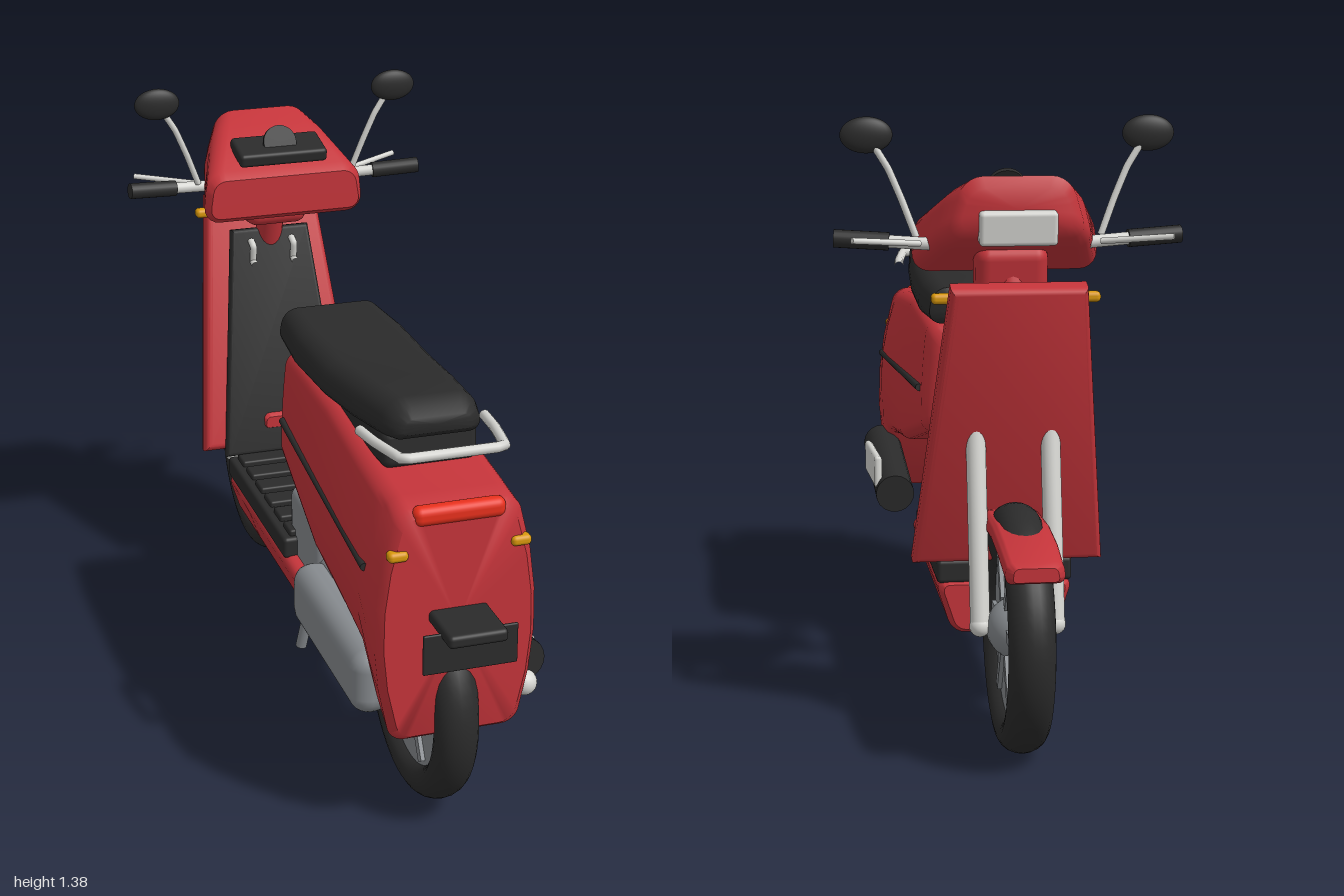
import * as THREE from 'three';
import { toCreasedNormals } from 'three/addons/utils/BufferGeometryUtils.js';
import { RoundedBoxGeometry } from 'three/addons/geometries/RoundedBoxGeometry.js';

const paint = (name, color) => {
  const m = new THREE.MeshStandardMaterial({ color });
  m.name = name;
  return m;
};

// Rounded trapezoid sections along z: [z, yBottom, yTop, halfBottom, halfTop, radius, bulge]
function loft(sections) {
  const pos = [], idx = [];
  let n = 0;
  for (const [z, y0, y1, w0, w1, r, bulge = 0] of sections) {
    const ring = [];
    const half = y => {
      const t = (y - y0) / (y1 - y0);
      return w0 + (w1 - w0) * t + bulge * 4 * t * (1 - t);
    };
    const add = (side, inset, y) => ring.push([side * (half(y) - inset), y]);
    const right = [];
    for (let i = 0; i <= 5; i++) {
      const a = (i / 5) * Math.PI / 2;
      right.push([r * (1 - Math.sin(a)), y0 + r * (1 - Math.cos(a))]);
    }
    for (let i = 1; i < 5; i++) right.push([0, y0 + r + (y1 - y0 - 2 * r) * i / 5]);
    for (let i = 0; i <= 5; i++) {
      const a = (i / 5) * Math.PI / 2;
      right.push([r * (1 - Math.cos(a)), y1 - r * (1 - Math.sin(a))]);
    }
    right.forEach(([inset, y]) => add(1, inset, y));
    right.reverse().forEach(([inset, y]) => add(-1, inset, y));
    n = ring.length;
    ring.forEach(([x, y]) => pos.push(x, y, z));
  }
  const last = sections.length - 1;
  for (let s = 0; s < last; s++) {
    for (let j = 0; j < n; j++) {
      const a = s * n + j, b = s * n + (j + 1) % n;
      idx.push(a, b, b + n, a, b + n, a + n);
    }
  }
  for (const s of [0, last]) {
    const c = pos.length / 3;
    pos.push(0, (sections[s][1] + sections[s][2]) / 2, sections[s][0]);
    for (let j = 0; j < n; j++) {
      const a = s * n + j, b = s * n + (j + 1) % n;
      idx.push(...(s ? [c, a, b] : [c, b, a]));
    }
  }
  const g = new THREE.BufferGeometry();
  g.setAttribute('position', new THREE.Float32BufferAttribute(pos, 3));
  g.setIndex(idx);
  return toCreasedNormals(g, 0.8);
}

// Bevelled trapezoid panel standing on its bottom edge
function panel(bottom, top, height, depth, bevel) {
  const s = new THREE.Shape();
  s.moveTo(-bottom + bevel, bevel);
  s.lineTo(bottom - bevel, bevel);
  s.lineTo(top - bevel, height - bevel);
  s.lineTo(-top + bevel, height - bevel);
  s.closePath();
  const g = new THREE.ExtrudeGeometry(s, {
    depth: depth - 2 * bevel, bevelSize: bevel, bevelThickness: bevel, bevelSegments: 4
  });
  g.translate(0, 0, bevel - depth / 2);
  return toCreasedNormals(g, 0.6);
}

export function createModel() {
  const root = new THREE.Group();
  const red = paint('red paint', 0xc4343a), black = paint('black rubber', 0x2b2b2b);
  const grey = paint('grey metal', 0x878b8f), white = paint('pale metal', 0xd6d6d2);
  const amber = paint('amber lens', 0xd9980c), lamp = paint('red lens', 0xe8301c);

  const mesh = (name, geo, mat, p = [0, 0, 0], rot = [0, 0, 0], parent = root) => {
    const m = new THREE.Mesh(geo, mat);
    m.name = name;
    m.position.set(...p);
    m.rotation.set(...rot);
    parent.add(m);
    return m;
  };
  const box = (name, size, mat, p, rot, r = 0.01) =>
    mesh(name, new RoundedBoxGeometry(...size, 3, Math.min(r, ...size.map(v => v * 0.45))), mat, p, rot);
  const tube = (name, pts, r, mat) => {
    const c = new THREE.CatmullRomCurve3(pts.map(p => new THREE.Vector3(...p)), false, 'catmullrom', 0.15);
    return mesh(name, new THREE.TubeGeometry(c, 32, r, 12), mat);
  };
  const rod = (name, a, b, r, mat) => {
    const A = new THREE.Vector3(...a), B = new THREE.Vector3(...b);
    const m = mesh(name, new THREE.CylinderGeometry(r, r, A.distanceTo(B), 20), mat);
    m.position.copy(A).add(B).multiplyScalar(0.5);
    m.quaternion.setFromUnitVectors(new THREE.Vector3(0, 1, 0), B.sub(A).normalize());
    return m;
  };

  // Wheels
  for (const [name, z] of [['rearWheel', 0.64], ['frontWheel', -0.71]]) {
    const w = new THREE.Group();
    w.name = name;
    w.position.set(0, 0.275, z);
    w.rotation.y = Math.PI / 2;
    root.add(w);
    mesh('tyre', new THREE.TorusGeometry(0.2325, 0.0425, 20, 56), black, [0, 0, 0], [0, 0, 0], w).scale.z = 1.2;
    mesh('rim', new THREE.CylinderGeometry(0.2, 0.2, 0.05, 48), grey, [0, 0, 0], [Math.PI / 2, 0, 0], w);
    for (let i = 0; i < 6; i++) {
      const a = i * Math.PI / 3;
      mesh('spoke', new THREE.BoxGeometry(0.12, 0.024, 0.07), grey,
        [0.125 * Math.cos(a), 0.125 * Math.sin(a), 0], [0, 0, a], w);
    }
    mesh('hub', new THREE.SphereGeometry(0.07, 24, 16), grey, [0, 0, 0], [0, 0, 0], w);
  }

  // Rear body and seat
  mesh('rearBody', loft([
    [-0.042, 0.61, 0.82, 0.11, 0.10, 0.03], [-0.03, 0.59, 0.84, 0.135, 0.12, 0.03],
    [0, 0.575, 0.85, 0.145, 0.13, 0.03, 0.005], [0.35, 0.485, 0.86, 0.165, 0.135, 0.03, 0.015],
    [0.6, 0.45, 0.838, 0.165, 0.135, 0.03, 0.03], [0.73, 0.425, 0.825, 0.165, 0.135, 0.03, 0.035],
    [0.79, 0.31, 0.82, 0.15, 0.135, 0.03, 0.042], [0.85, 0.255, 0.815, 0.145, 0.135, 0.03, 0.045],
    [0.87, 0.27, 0.80, 0.13, 0.12, 0.03, 0.045]]), red);
  mesh('seat', loft([
    [-0.075, 0.87, 0.922, 0.10, 0.09, 0.02], [-0.06, 0.852, 0.94, 0.135, 0.12, 0.035],
    [0.1, 0.85, 0.946, 0.15, 0.13, 0.04], [0.32, 0.862, 0.952, 0.15, 0.125, 0.04],
    [0.5, 0.88, 0.972, 0.14, 0.115, 0.04], [0.66, 0.9, 0.99, 0.123, 0.10, 0.04],
    [0.705, 0.91, 0.982, 0.11, 0.09, 0.033], [0.723, 0.925, 0.962, 0.085, 0.07, 0.015]]), black);
  box('seatBase', [0.22, 0.09, 0.4], black, [0, 0.86, 0.48], [-0.07, 0, 0], 0.02);
  tube('grabRail', [[0.145, 0.905, 0.62], [0.138, 0.91, 0.7], [0.118, 0.918, 0.815], [0.1, 0.918, 0.822],
    [-0.1, 0.918, 0.822], [-0.118, 0.918, 0.815], [-0.138, 0.91, 0.7], [-0.145, 0.905, 0.62]], 0.012, white);
  for (const s of [1, -1]) {
    rod('sideStripe', [s * 0.181, 0.647, 0.765], [s * 0.148, 0.682, 0.02], 0.009, black);
    box('rearIndicator', [0.046, 0.024, 0.03], amber, [s * 0.14, 0.715, 0.865]);
    box('frontIndicator', [0.05, 0.024, 0.03], amber, [s * 0.16, 1.0, -0.665]);
  }

  // Tail light and plate bracket
  box('tailLight', [0.21, 0.045, 0.04], lamp, [0, 0.798, 0.857], [0, 0, 0], 0.018);
  box('plateArm', [0.135, 0.03, 0.14], black, [0, 0.56, 0.93]);
  box('plate', [0.216, 0.095, 0.008], black, [0, 0.512, 0.947]);

  // Engine, drive casing and stand
  box('engine', [0.18, 0.17, 0.28], grey, [-0.02, 0.31, 0.28], [0, 0, 0], 0.03);
  box('engineCover', [0.24, 0.2, 0.23], grey, [0, 0.39, 0.09], [0, 0, 0], 0.025);
  box('driveCasing', [0.1, 0.16, 0.52], grey, [-0.13, 0.305, 0.44], [0, 0, 0], 0.045);
  rod('kickStand', [-0.085, 0.24, 0.07], [-0.107, 0.06, 0.028], 0.014, grey);

  // Exhaust
  rod('muffler', [0.18, 0.385, 0.81], [0.18, 0.335, 0.37], 0.05, black);
  box('heatShield', [0.02, 0.085, 0.36], white, [0.222, 0.375, 0.57], [0.08, 0, 0]);
  mesh('exhaustTip', new THREE.SphereGeometry(0.03, 20, 14), white, [0.18, 0.33, 0.815]);

  // Floor
  mesh('floorPan', loft([
    [-0.49, 0.21, 0.315, 0.11, 0.145, 0.02], [-0.475, 0.2, 0.325, 0.12, 0.16, 0.03],
    [0.15, 0.2, 0.325, 0.12, 0.16, 0.03], [0.168, 0.21, 0.315, 0.11, 0.145, 0.02]]), red);
  box('floorMat', [0.31, 0.055, 0.53], black, [0, 0.345, -0.22]);
  for (let i = 0; i < 6; i++) box('matRib', [0.27, 0.02, 0.062], black, [0, 0.377, -0.435 + i * 0.087], [0, 0, 0], 0.006);

  // Leg shield
  const lean = -Math.atan2(0.2, 0.63);
  mesh('legShield', panel(0.215, 0.15, 0.68, 0.06, 0.018), red, [0, 0.385, -0.51], [lean, 0, 0]);
  mesh('innerPanel', panel(0.165, 0.105, 0.6, 0.035, 0.01), black, [0, 0.38, -0.468], [lean + 0.06, 0, 0]);
  for (const s of [1, -1])
    tube('bagHook', [[s * 0.055, 0.935, -0.59], [s * 0.055, 0.925, -0.565], [s * 0.055, 0.885, -0.572],
      [s * 0.055, 0.88, -0.55]], 0.009, white);

  // Front fork and fender
  for (const s of [1, -1]) {
    rod('forkLeg', [s * 0.083, 0.28, -0.708], [s * 0.083, 0.7, -0.62], 0.022, white);
    mesh('forkEnd', new THREE.SphereGeometry(0.024, 16, 12), white, [s * 0.083, 0.28, -0.708]);
  }
  mesh('frontFender', loft([
    [-0.998, 0.452, 0.482, 0.05, 0.045, 0.01], [-0.98, 0.445, 0.492, 0.065, 0.06, 0.018],
    [-0.87, 0.47, 0.512, 0.068, 0.062, 0.018], [-0.75, 0.48, 0.522, 0.068, 0.062, 0.018],
    [-0.6, 0.472, 0.515, 0.068, 0.062, 0.018], [-0.48, 0.44, 0.49, 0.065, 0.06, 0.018],
    [-0.465, 0.45, 0.48, 0.055, 0.05, 0.01]]), red);

  // Handlebar cowl
  mesh('handlebarCowl', loft([
    [-0.7, 1.15, 1.24, 0.13, 0.10, 0.03], [-0.685, 1.13, 1.265, 0.155, 0.115, 0.04],
    [-0.62, 1.1, 1.24, 0.18, 0.145, 0.045], [-0.47, 1.035, 1.168, 0.213, 0.2, 0.045],
    [-0.448, 1.05, 1.15, 0.2, 0.185, 0.03]]), red);
  box('steeringNeck', [0.16, 0.12, 0.1], red, [0, 1.05, -0.57], [-0.15, 0, 0], 0.03);
  rod('steeringColumn', [0, 0.9, -0.63], [0, 1.06, -0.575], 0.035, red);
  box('headlight', [0.17, 0.075, 0.04], white, [0, 1.155, -0.7], [-0.1, 0, 0]);
  box('dashboard', [0.23, 0.035, 0.11], black, [0, 1.203, -0.51], [0.2, 0, 0]);
  mesh('dashDial', new THREE.CylinderGeometry(0.043, 0.043, 0.012, 28), black, [0, 1.225, -0.5], [1.15, 0, 0]);

  // Handlebars, levers and mirrors
  for (const s of [1, -1]) {
    rod('handlebar', [s * 0.15, 1.105, -0.565], [s * 0.28, 1.113, -0.548], 0.014, white);
    rod('grip', [s * 0.265, 1.112, -0.55], [s * 0.386, 1.119, -0.537], 0.02, black);
    rod('brakeLever', [s * 0.2, 1.11, -0.58], [s * 0.352, 1.125, -0.64], 0.007, white);
    tube('mirrorStem', [[s * 0.205, 1.12, -0.545], [s * 0.235, 1.2, -0.537], [s * 0.265, 1.27, -0.532],
      [s * 0.305, 1.335, -0.53]], 0.008, white);
    mesh('mirror', new THREE.SphereGeometry(1, 28, 18), black, [s * 0.312, 1.343, -0.527]).scale.set(0.058, 0.04, 0.018);
  }
  return root;
}
